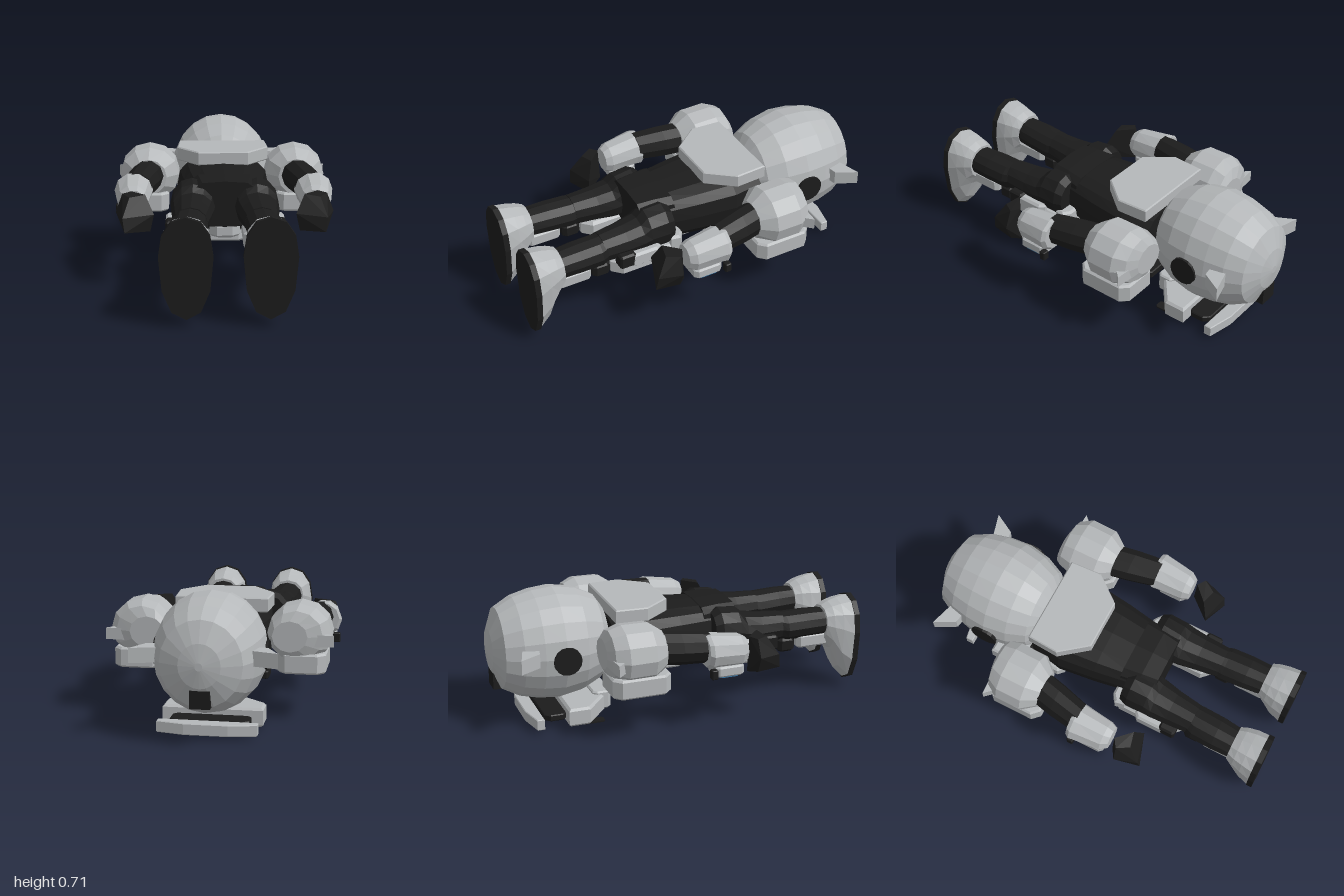
import * as THREE from 'three';
import { ConvexGeometry } from 'three/addons/geometries/ConvexGeometry.js';

const material = (name, color) => {
  const m = new THREE.MeshStandardMaterial({ color, flatShading: true });
  m.name = name;
  return m;
};

export function createModel() {
  const root = new THREE.Group();
  const grey = material('armour grey', 0xb5b8ba);
  const dark = material('suit black', 0x1c1c1c);
  const blue = material('screen blue', 0x3a78a8);

  const add = (name, geo, mat) => {
    const m = new THREE.Mesh(geo, mat);
    m.name = name;
    root.add(m);
  };

  // Closed skin over rings along z: [z, cx, cy, rx, upper ry, lower ry]
  const loft = (name, mat, rings, sides = 12, power = 1) => {
    const pos = [], idx = [], n = rings.length;
    const bend = v => Math.sign(v) * Math.abs(v) ** power;
    for (const [z, cx, cy, rx, up, low = up] of rings)
      for (let j = 0; j < sides; j++) {
        const a = (j / sides) * Math.PI * 2, s = Math.sin(a);
        pos.push(cx + rx * bend(Math.cos(a)), cy + (s > 0 ? up : low) * bend(s), z);
      }
    for (const [z, cx, cy] of [rings[0], rings[n - 1]]) pos.push(cx, cy, z);
    const c0 = n * sides, c1 = c0 + 1, last = (n - 1) * sides;
    for (let j = 0; j < sides; j++) {
      const k = (j + 1) % sides;
      for (let i = 0; i < n - 1; i++) {
        const a = i * sides, b = a + sides;
        idx.push(a + j, a + k, b + k, a + j, b + k, b + j);
      }
      idx.push(c0, k, j, c1, last + j, last + k);
    }
    const g = new THREE.BufferGeometry();
    g.setAttribute('position', new THREE.Float32BufferAttribute(pos, 3));
    g.setIndex(idx);
    g.computeVertexNormals();
    add(name, g, mat);
  };

  // Chamfered slab with an outline in x, z between two heights
  const plate = (name, mat, pts, y0, y1, b = 0.012) => {
    const shape = new THREE.Shape(pts.map(([x, z]) => new THREE.Vector2(x, -z)));
    const g = new THREE.ExtrudeGeometry(shape, {
      depth: y1 - y0 - 2 * b, bevelEnabled: b > 0, bevelThickness: b,
      bevelSize: b, bevelOffset: -b, bevelSegments: 1,
    });
    g.rotateX(-Math.PI / 2).translate(0, y0 + b, 0);
    add(name, g, mat);
  };
  // Rectangle with cut corners
  const oct = (x0, x1, z0, z1, c = 0.02) => [
    [x0 + c, z0], [x1 - c, z0], [x1, z0 + c], [x1, z1 - c],
    [x1 - c, z1], [x0 + c, z1], [x0, z1 - c], [x0, z0 + c],
  ];
  // Symmetric outline from its +x half
  const both = half => [...half, ...half.map(([x, z]) => [-x, z]).reverse()];

  // Helmet
  const helmet = [[-1, 0.02], [-0.985, 0.11], [-0.94, 0.215], [-0.85, 0.265], [-0.75, 0.29],
    [-0.64, 0.3], [-0.52, 0.278], [-0.42, 0.23], [-0.38, 0.17], [-0.355, 0.07]];
  loft('helmet', grey, helmet.map(([z, r]) => [z, 0, 0.41, r * 0.94, r]), 20);
  add('foreheadLamp', new THREE.BoxGeometry(0.1, 0.09, 0.08).translate(0, 0.245, -0.94), dark);

  // Face guard carried ahead of the helmet
  plate('browBar', grey, both([[0.11, -0.835], [0.25, -0.805], [0.25, -0.765]]), 0.023, 0.082, 0.004);
  plate('visor', dark, oct(-0.2, 0.2, -0.75, -0.62, 0.03), 0.04, 0.075, 0.005);
  plate('jawGuard', grey, both([[0.255, -0.635], [0.255, -0.52], [0.11, -0.4]]), 0.017, 0.115);
  plate('chinGuard', grey, oct(-0.115, 0.115, -0.46, -0.36), 0.03, 0.13, 0.008);

  // Torso, pelvis and back plate
  loft('torso', dark, [[-0.37, 0, 0.42, 0.22, 0.12, 0.15], [-0.2, 0, 0.41, 0.25, 0.15, 0.17],
    [0, 0, 0.41, 0.225, 0.145, 0.165], [0.2, 0, 0.41, 0.19, 0.135, 0.155]], 16, 0.7);
  loft('pelvis', dark, [[0.14, 0, 0.41, 0.19, 0.14, 0.15], [0.24, 0, 0.42, 0.175, 0.135, 0.14],
    [0.33, 0, 0.43, 0.16, 0.12, 0.12]], 12, 0.45);
  plate('backPlate', grey, both([[0.24, -0.37], [0.25, -0.2], [0.135, -0.055]]), 0.545, 0.62, 0.006);

  // Chest, waist and belt
  plate('breastPlate', grey, both([[0.16, -0.37], [0.19, -0.24], [0.11, -0.085]]), 0.17, 0.25, 0.02);
  plate('waistPlate', grey, oct(-0.09, 0.09, -0.08, 0.06), 0.195, 0.26);
  plate('beltBuckle', dark, oct(-0.065, 0.065, 0.085, 0.16), 0.212, 0.3, 0.01);
  plate('groinPlate', grey, oct(-0.08, 0.08, 0.16, 0.3, 0.04), 0.24, 0.31);

  for (const s of [1, -1]) {
    const side = s > 0 ? 'left' : 'right';
    const part = (n, mat, rings, sides, p) =>
      loft(side + n, mat, rings.map(([z, x, ...r]) => [z, s * x, ...r]), sides, p);
    const slab = (n, mat, pts, ...r) =>
      plate(side + n, mat, pts.map(([x, z]) => [s * x, z]), ...r);

    // Ear disc, helmet fin and jaw vent
    add(side + 'EarDisc', new THREE.CylinderGeometry(0.074, 0.074, 0.05, 16)
      .rotateZ(Math.PI / 2).translate(s * 0.26, 0.395, -0.64), dark);
    slab('HelmetFin', grey, [[0.36, -0.9], [0.22, -0.86], [0.24, -0.78], [0.3, -0.79]], 0.39, 0.465, 0);
    slab('JawVent', dark, oct(0.17, 0.22, -0.55, -0.43, 0.01), 0.004, 0.012, 0);

    // Shoulder
    part('Shoulder', grey, [[-0.488, 0.365, 0.45, 0.09, 0.08], [-0.465, 0.395, 0.45, 0.135, 0.13],
      [-0.4, 0.405, 0.45, 0.165, 0.155], [-0.26, 0.405, 0.45, 0.163, 0.153],
      [-0.185, 0.41, 0.45, 0.1, 0.1]], 12);
    slab('ShoulderFin', grey, [[0.585, -0.468], [0.47, -0.475], [0.5, -0.41], [0.54, -0.42]], 0.4, 0.46, 0);
    slab('ShoulderGuard', grey, oct(0.3, 0.545, -0.48, -0.17, 0.04), 0.255, 0.36, 0.01);
    slab('CollarGuard', grey, oct(0.14, 0.25, -0.365, -0.18, 0.03), 0.235, 0.31);
    slab('ChestVent', dark, oct(0.13, 0.25, -0.42, -0.31, 0.01), 0.21, 0.25, 0.005);

    // Arm
    part('UpperArm', dark, [[-0.22, 0.41, 0.46, 0.09, 0.088], [-0.1, 0.435, 0.455, 0.09, 0.088],
      [0.05, 0.465, 0.45, 0.08, 0.08]], 10);
    part('Forearm', grey, [[0.02, 0.482, 0.44, 0.09, 0.085], [0.04, 0.482, 0.435, 0.104, 0.096],
      [0.065, 0.482, 0.435, 0.1, 0.092], [0.21, 0.48, 0.42, 0.083, 0.085],
      [0.245, 0.475, 0.42, 0.062, 0.065]], 10);
    // Hand tapers from a wide lower face to a narrow upper face
    const hand = [[0.41, 0.485, 0.34], [0.485, 0.485, 0.265], [0.53, 0.48, 0.295], [0.49, 0.475, 0.36],
      [0.365, 0.39, 0.38], [0.565, 0.385, 0.3], [0.525, 0.38, 0.42],
      [0.385, 0.3, 0.375], [0.49, 0.295, 0.255], [0.53, 0.3, 0.3], [0.515, 0.305, 0.43]];
    add(side + 'Hand', new ConvexGeometry(hand.map(([x, y, z]) => new THREE.Vector3(s * x, y, z))), dark);
    slab('WristDevice', grey, oct(0.42, 0.55, 0.06, 0.22), 0.305, 0.36, 0.008);
    slab('WristScreen', blue, oct(0.435, 0.54, 0.08, 0.195, 0.015), 0.299, 0.306, 0);
    slab('ForearmButton', dark, oct(0.54, 0.578, 0.025, 0.06, 0.005), 0.31, 0.36, 0.004);

    // Leg
    part('Thigh', dark, [[0.18, 0.175, 0.42, 0.09, 0.1], [0.22, 0.17, 0.42, 0.112, 0.125, 0.12],
      [0.32, 0.165, 0.42, 0.115, 0.115, 0.12], [0.36, 0.167, 0.41, 0.112, 0.09, 0.11],
      [0.45, 0.172, 0.4, 0.1, 0.088], [0.58, 0.178, 0.4, 0.086, 0.08]], 12);
    part('Shin', dark, [[0.56, 0.178, 0.4, 0.084, 0.075], [0.6, 0.184, 0.395, 0.094, 0.08],
      [0.72, 0.19, 0.4, 0.094, 0.078], [0.84, 0.195, 0.4, 0.085, 0.075]], 12);
    slab('HipGuard', grey, [[0.16, 0.13], [0.24, 0.13], [0.28, 0.16], [0.27, 0.21], [0.16, 0.21]], 0.29, 0.38);
    slab('ThighSideGuard', grey, oct(0.24, 0.305, 0.28, 0.47, 0.025), 0.3, 0.38);
    slab('ThighPouch', dark, oct(0.23, 0.305, 0.43, 0.52, 0.01), 0.31, 0.39, 0.01);
    slab('ThighPlate', grey, oct(0.09, 0.27, 0.13, 0.54, 0.05), 0.237, 0.33, 0.015);
    slab('KneePad', dark, oct(0.12, 0.25, 0.55, 0.65), 0.265, 0.34);
    slab('ShinPlate', grey, oct(0.125, 0.255, 0.66, 0.85), 0.275, 0.35);

    // Boot and sole
    part('Boot', grey, [[0.82, 0.198, 0.4, 0.092, 0.09, 0.1], [0.86, 0.198, 0.39, 0.108, 0.12, 0.15],
      [0.91, 0.198, 0.375, 0.12, 0.15, 0.26], [0.97, 0.2, 0.35, 0.126, 0.187, 0.3]], 12, 0.9);
    part('Sole', dark, [[0.97, 0.2, 0.35, 0.13, 0.192, 0.308], [1, 0.2, 0.35, 0.13, 0.192, 0.308]], 12, 0.9);
  }
  return root;
}
